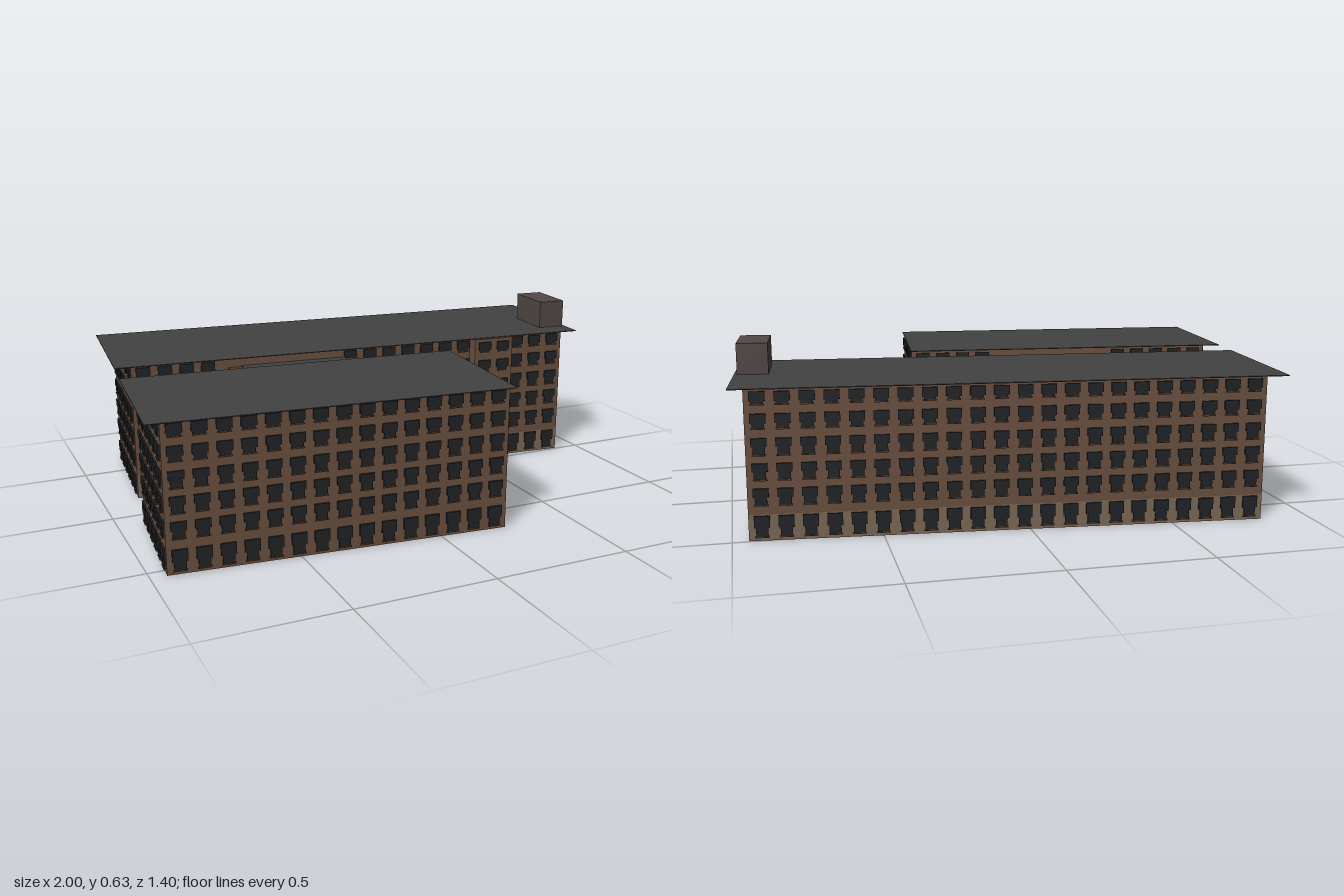
import * as THREE from 'three';
import { mergeGeometries } from 'three/addons/utils/BufferGeometryUtils.js';

const mat = (color, side = THREE.FrontSide) => {
  const m = new THREE.MeshStandardMaterial({ side });
  m.color.set(color);
  return m;
};
const BRICK = mat(0x6b5140, THREE.DoubleSide);
const BASE = mat(0x7d6856, THREE.DoubleSide);
const TRIM = mat(0x573d2f);
const GLASS = mat(0x202326, THREE.DoubleSide);
const ROOF = mat(0x424242, THREE.DoubleSide);
const PLANT = mat(0x524845);

const H = 0.52;        // wall height
const GROUND = 0.09;   // ground floor height
const YAW = -0.09;     // both blocks are turned slightly
// bottom, transom and top of the windows on each floor
const FLOORS = [
  [0.015, 0.045, 0.086], [0.124, 0.15, 0.18], [0.21, 0.237, 0.265],
  [0.294, 0.322, 0.35], [0.383, 0.4, 0.432], [0.464, 0.474, 0.506],
];

function box(parent, name, material, w, h, d, x, y, z) {
  const m = new THREE.Mesh(new THREE.BoxGeometry(w, h, d), material);
  m.name = name;
  m.position.set(x, y + h / 2, z);   // y is the underside
  parent.add(m);
  return m;
}

// wide upper light over a narrower lower light, running through the wall
function windowGeometry(x, z, [bottom, mid, top]) {
  const upper = new THREE.BoxGeometry(0.052, top - mid, 0.014);
  upper.translate(x, (mid + top) / 2, z);
  const lower = new THREE.BoxGeometry(0.04, mid - bottom, 0.01);
  lower.translate(x, (bottom + mid) / 2, z);
  return [upper, lower];
}

// one wall facing its own +z, with evenly spaced windows
function facade(name, length, count, baseMaterial, blank = () => false) {
  const g = new THREE.Group();
  g.name = name;
  for (const [part, y0, y1, material] of [['groundFloorWall', 0, GROUND, baseMaterial], ['upperWall', GROUND, H, BRICK]]) {
    const wall = new THREE.Mesh(new THREE.PlaneGeometry(length, y1 - y0), material);
    wall.name = part;
    wall.position.y = (y0 + y1) / 2;
    g.add(wall);
  }
  const panes = [], sills = [];
  const pitch = length / (count + 0.1);
  for (let i = 0; i < count; i++) {
    const x = (i - (count - 1) / 2) * pitch;
    if (blank(x)) continue;
    for (const f of FLOORS) {
      panes.push(...windowGeometry(x, 0, f));
      sills.push(new THREE.BoxGeometry(0.046, 0.004, 0.014).translate(x, f[0] - 0.002, 0));
    }
  }
  if (panes.length) {
    const windows = new THREE.Mesh(mergeGeometries(panes), GLASS);
    windows.name = 'windows';
    const ledges = new THREE.Mesh(mergeGeometries(sills), TRIM);
    ledges.name = 'windowSills';
    g.add(windows, ledges);
  }
  return g;
}

// four walls and a thin overhanging roof, open underneath
function block({ name, x, z, length, depth, shift, roof, counts, base, blankFront, blankBack }) {
  const g = new THREE.Group();
  g.name = name;
  g.position.set(x, 0, z);
  g.rotation.y = YAW;
  const sides = [
    ['frontWall', length, counts[0], shift, depth / 2, 0, blankFront],
    ['backWall', length, counts[1], shift, -depth / 2, Math.PI, blankBack],
    ['leftWall', depth, counts[2], shift + length / 2, 0, Math.PI / 2],
    ['rightWall', depth, counts[3], shift - length / 2, 0, -Math.PI / 2],
  ];
  for (const [part, len, n, px, pz, turn, blank] of sides) {
    const f = facade(part, len, n, base, blank);
    f.position.set(px, 0, pz);
    f.rotation.y = turn;
    g.add(f);
  }
  box(g, 'roof', ROOF, roof[0], 0.003, roof[1], 0, H - 0.001, 0);
  return g;
}

export function createModel() {
  const model = new THREE.Group();
  model.name = 'officeBuilding';

  // long rear block: blank end wall, no windows behind the link and the bay
  const rear = block({
    name: 'rearBlock', x: 0.031, z: -0.331, length: 1.775, depth: 0.49, shift: 0.008,
    roof: [1.885, 0.575], counts: [22, 22, 0, 6], base: BASE,
    blankFront: (x) => Math.abs(x + 0.3) < 0.25 || Math.abs(x - 0.555) < 0.1,
  });
  model.add(rear);

  // shorter front block
  model.add(block({
    name: 'frontBlock', x: -0.3525, z: 0.356, length: 1.193, depth: 0.478, shift: 0.0235,
    roof: [1.25, 0.565], counts: [15, 15, 6, 6], base: BRICK,
    blankBack: (x) => Math.abs(x + 0.065) < 0.25,
  }));

  // rooftop plant room
  box(rear, 'plantRoom', PLANT, 0.107, 0.11, 0.205, 0.878, H, 0.088);

  // stair bay with paired windows, and the entrance porch at its foot
  const bay = new THREE.Group();
  bay.name = 'entranceBay';
  bay.position.set(0.563, 0, 0.245);
  rear.add(bay);
  box(bay, 'bayWalls', BRICK, 0.165, H - 0.002, 0.05, 0, 0, 0.025);
  for (const s of [-1, 1]) {
    const panes = FLOORS.slice(1).flatMap((f) => windowGeometry(s * 0.04, 0.05, f));
    const windows = new THREE.Mesh(mergeGeometries(panes), GLASS);
    windows.name = 'bayWindows';
    bay.add(windows);
    box(bay, 'porchPier', TRIM, 0.012, 0.17, 0.035, s * 0.027, 0, 0.0675);
    box(bay, 'doorLeaf', GLASS, 0.018, 0.07, 0.006, s * 0.011, 0, 0.076);
  }
  box(bay, 'porchWall', BASE, 0.042, 0.1, 0.025, 0, 0.07, 0.0625);
  box(bay, 'canopy', TRIM, 0.165, 0.008, 0.065, 0, 0.172, 0.0325);
  box(bay, 'porchRoof', TRIM, 0.066, 0.01, 0.085, 0, 0.17, 0.0425);

  // glazed link between the two blocks
  const link = new THREE.Group();
  link.name = 'glazedLink';
  link.position.set(-0.262, 0, 0.007);
  link.rotation.y = YAW;
  model.add(link);
  const span = 0.236, top = 0.48;
  box(link, 'linkRoof', ROOF, 0.41, 0.006, span, 0, top - 0.004, 0);
  for (const s of [-1, 1]) {
    box(link, 'roofEdge', TRIM, 0.05, 0.006, span, s * 0.229, top - 0.008, 0);
    box(link, 'glassWall', GLASS, 0.004, top - 0.008, span, s * 0.25, 0, 0);
    for (const z of [-0.06, 0, 0.06]) box(link, 'mullion', PLANT, 0.006, top - 0.008, 0.002, s * 0.25, 0, z);
    for (const y of [0.09, 0.18, 0.265, 0.35, 0.43]) box(link, 'transom', PLANT, 0.006, 0.002, span, s * 0.25, y, 0);
  }
  return model;
}
